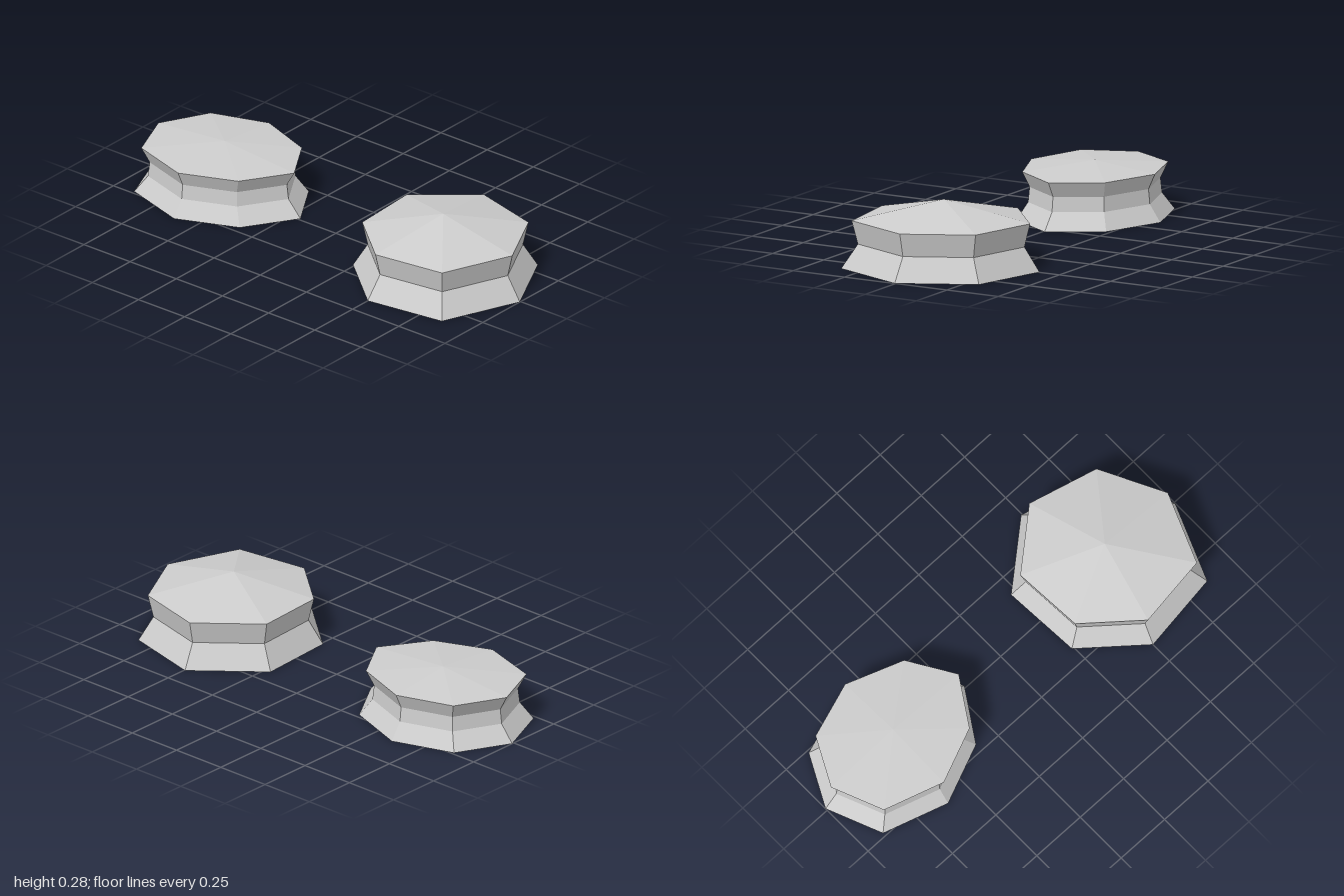
import * as THREE from 'three';

const grey = new THREE.MeshStandardMaterial({ color: 0xcccccc, flatShading: true, side: THREE.DoubleSide });
grey.name = 'grey';

// Open-bottomed shell: scaled copies of a footprint joined in bands, closed by a shallow faceted roof.
// levels are [height, scale] pairs; footprint points are [x, z].
function createShell(name, footprint, centre, levels, apex) {
  const n = footprint.length;
  const rings = levels.map(([y, s]) =>
    footprint.map(([x, z]) => [
      centre[0] + (x - centre[0]) * s,
      y,
      centre[1] + (z - centre[1]) * s,
    ]));
  const positions = [];
  const face = (a, b, c) => positions.push(...a, ...b, ...c);

  for (let i = 0; i < n; i++) {
    const j = (i + 1) % n;
    // Side bands
    for (let k = 0; k < rings.length - 1; k++) {
      const low = rings[k], high = rings[k + 1];
      face(low[i], high[i], low[j]);
      face(low[j], high[i], high[j]);
    }
    // Roof facet
    const top = rings[rings.length - 1];
    face(top[j], top[i], apex);
  }

  const geometry = new THREE.BufferGeometry();
  geometry.setAttribute('position', new THREE.Float32BufferAttribute(positions, 3));
  geometry.computeVertexNormals();
  const mesh = new THREE.Mesh(geometry, grey);
  mesh.name = name;
  return mesh;
}

export function createModel() {
  const model = new THREE.Group();
  model.name = 'pairOfPedestals';

  // Seven-sided pedestal with one waist
  model.add(createShell(
    'leftPedestal',
    [[1, 0.005], [0.86, 0.35], [0.5, 0.4], [0.24, 0.18], [0.22, -0.17], [0.495, -0.4], [0.84, -0.31]],
    [0.59, 0],
    [[0, 1], [0.103, 0.84], [0.204, 0.9]],
    [0.59, 0.285, 0.01],
  ));

  // Eight-sided pedestal with a straight neck and flatter roof
  model.add(createShell(
    'rightPedestal',
    [[-0.2, -0.01], [-0.345, 0.215], [-0.61, 0.325], [-0.9, 0.235],
      [-1, -0.01], [-0.88, -0.24], [-0.61, -0.33], [-0.335, -0.23]],
    [-0.61, 0],
    [[0, 1], [0.073, 0.845], [0.137, 0.825], [0.204, 0.92]],
    [-0.61, 0.234, -0.01],
  ));

  return model;
}
